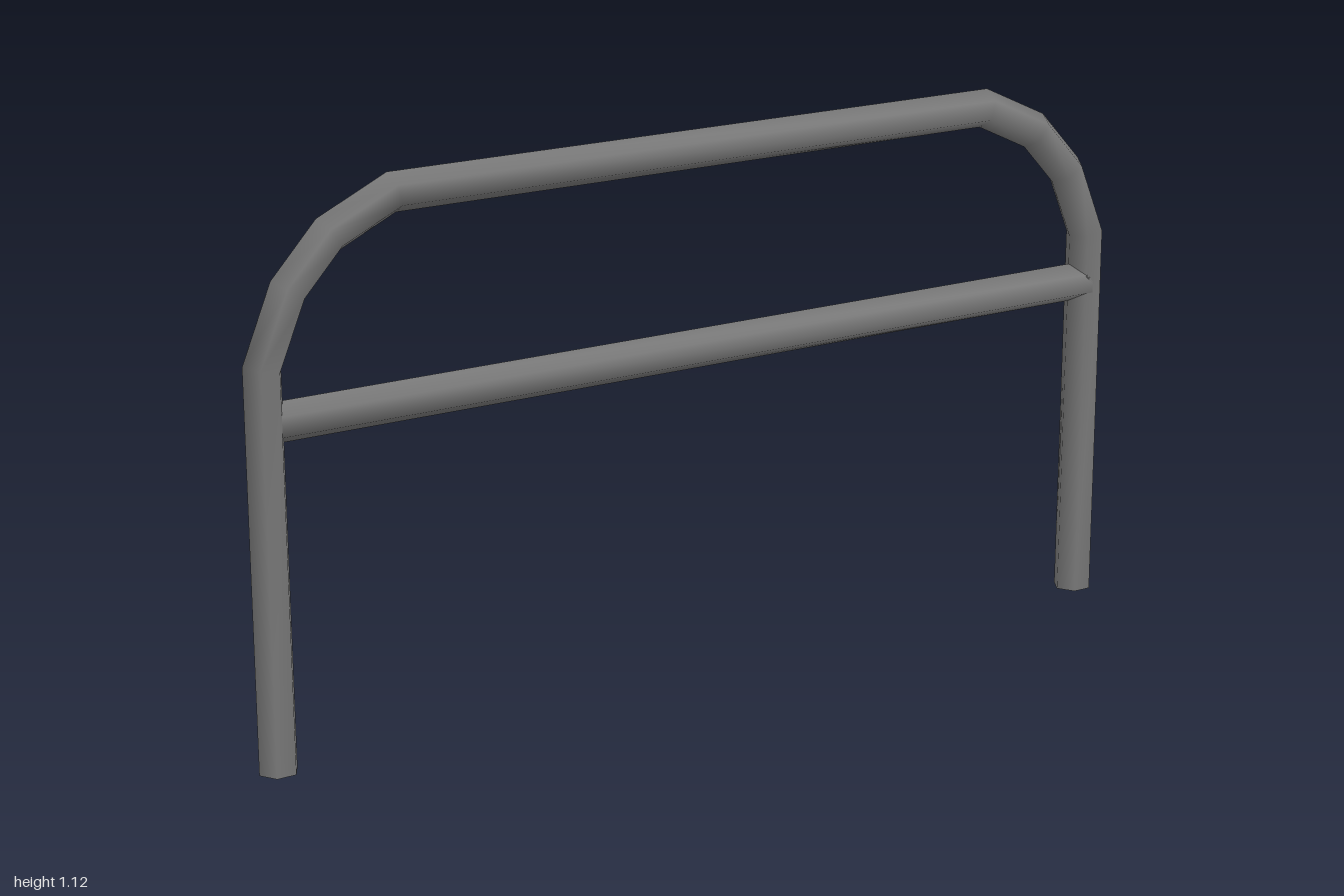
import * as THREE from 'three';

const RADIUS = 0.04;
const SIDES = 6;

// Sweeps a hexagonal section along a flat path of [x, y] points, with capped ends.
function pipe(name, path, material) {
  const points = path.map(([x, y]) => new THREE.Vector3(x, y, 0));
  const last = points.length - 1;
  const positions = [];
  const index = [];

  const addRing = (i) => {
    const into = points[i].clone().sub(points[Math.max(i - 1, 0)]).normalize();
    const out = points[Math.min(i + 1, last)].clone().sub(points[i]).normalize();
    const t = into.add(out).normalize();
    for (let j = 0; j < SIDES; j++) {
      const a = (j / SIDES) * Math.PI * 2;
      const r = RADIUS * Math.cos(a);
      positions.push(points[i].x - t.y * r, points[i].y + t.x * r, RADIUS * Math.sin(a));
    }
  };

  // Walls share vertices so they shade smoothly
  points.forEach((p, i) => addRing(i));
  for (let i = 0; i < last; i++) {
    for (let j = 0; j < SIDES; j++) {
      const a = i * SIDES + j;
      const b = i * SIDES + ((j + 1) % SIDES);
      index.push(a, b, b + SIDES, a, b + SIDES, a + SIDES);
    }
  }

  // End caps have their own vertices for a sharp rim
  for (const end of [0, last]) {
    const base = positions.length / 3;
    addRing(end);
    for (let j = 1; j < SIDES - 1; j++) {
      if (end === 0) index.push(base, base + j + 1, base + j);
      else index.push(base, base + j, base + j + 1);
    }
  }

  const geometry = new THREE.BufferGeometry();
  geometry.setAttribute('position', new THREE.Float32BufferAttribute(positions, 3));
  geometry.setIndex(index);
  geometry.computeVertexNormals();
  const mesh = new THREE.Mesh(geometry, material);
  mesh.name = name;
  return mesh;
}

export function createModel() {
  const group = new THREE.Group();
  group.name = 'hoopBarrier';
  const steel = new THREE.MeshStandardMaterial({ color: 0x787878 });
  steel.name = 'greySteel';

  // Bent hoop: one half of the path, mirrored to the other side
  const half = [[-0.956, 0], [-0.961, 0.787], [-0.904, 0.925], [-0.818, 1.018], [-0.685, 1.08]];
  const mirrored = half.map(([x, y]) => [-x, y]).reverse();
  group.add(pipe('hoop', [...half, ...mirrored], steel));

  // Horizontal rail between the legs
  group.add(pipe('crossbar', [[-0.96, 0.68], [0.96, 0.68]], steel));

  return group;
}
